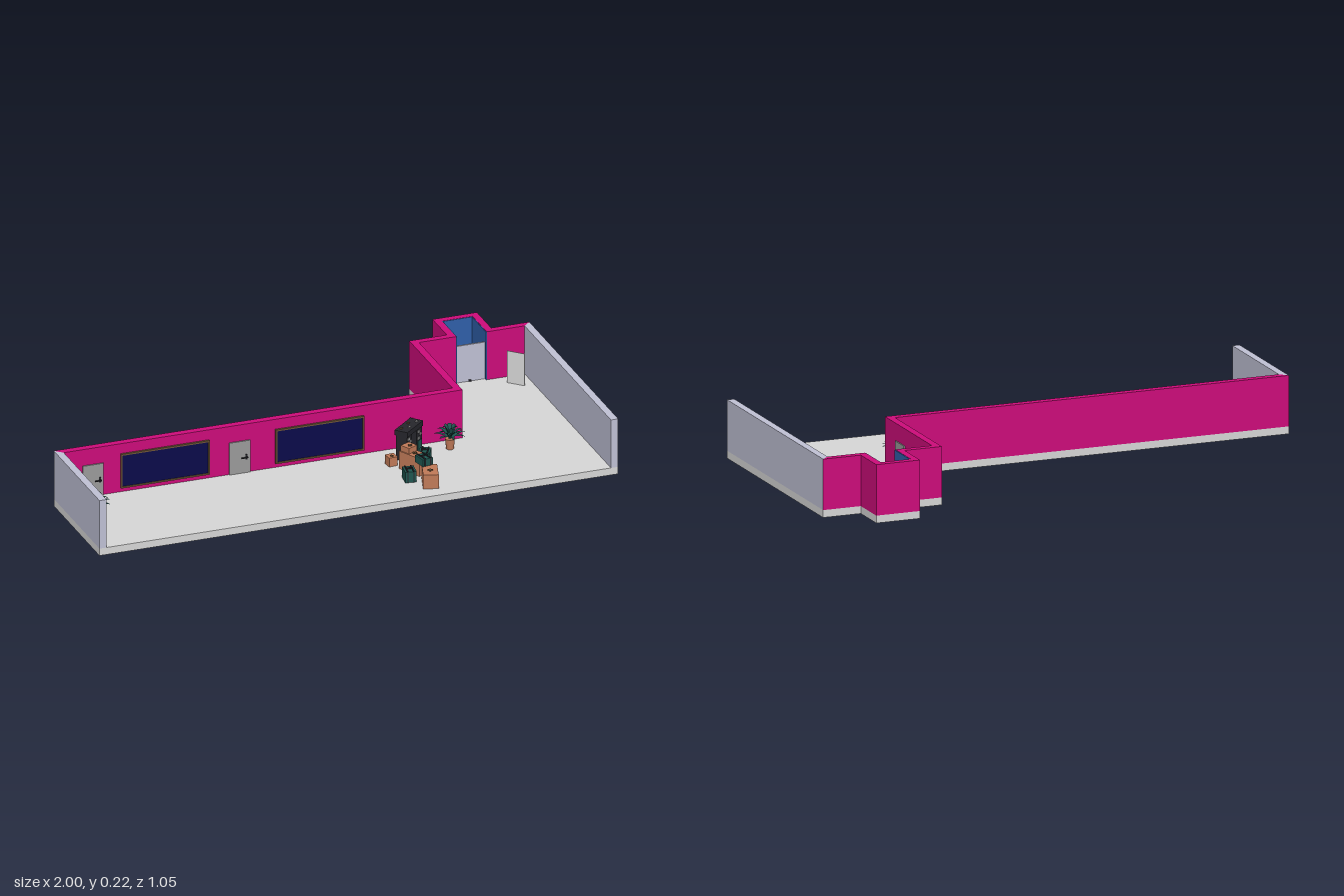
import * as THREE from 'three';

const mat = (name, color, extra = {}) => {
  const m = new THREE.MeshStandardMaterial({ color, ...extra });
  m.name = name;
  return m;
};

const FLOOR = 0.028, TOP = 0.218;

export function createModel() {
  const model = new THREE.Group();
  model.name = 'lobby';
  const M = {
    magenta: mat('magenta', 0xcc0c7a),
    lavender: mat('lavender', 0xbfc0d4),
    floor: mat('floorGrey', 0xd6d6d6),
    blue: mat('blue', 0x2f5fa8),
    navy: mat('navy', 0x0a0a4a),
    frame: mat('frameBrown', 0x6e5436),
    door: mat('doorGrey', 0x9a9a9a),
    dark: mat('charcoal', 0x26262c),
    tan: mat('tan', 0xc07a58),
    teal: mat('teal', 0x1f5650),
  };
  M.teal.side = THREE.DoubleSide;

  const add = (parent, name, geo, material, x = 0, y = 0, z = 0) => {
    const m = new THREE.Mesh(geo, material);
    m.name = name;
    m.position.set(x, y, z);
    parent.add(m);
    return m;
  };
  // box whose y is its underside
  const box = (parent, name, material, w, h, d, x, y, z) =>
    add(parent, name, new THREE.BoxGeometry(w, h, d), material, x, y + h / 2, z);
  const group = (name, x, y, z, turn = 0) => {
    const g = new THREE.Group();
    g.name = name;
    g.position.set(x, y, z);
    g.rotation.y = turn;
    model.add(g);
    return g;
  };
  // plan outline (x, z) raised from y0 to y1
  const slab = (name, material, pts, y0, y1) => {
    const shape = new THREE.Shape(pts.map(([x, z]) => new THREE.Vector2(x, -z)));
    const geo = new THREE.ExtrudeGeometry(shape, { depth: y1 - y0, bevelEnabled: false });
    geo.rotateX(-Math.PI / 2);
    add(model, name, geo, material, 0, y0, 0);
  };

  // Floor and walls
  const outer = [[-1, 0.06], [0.537, 0.06], [0.537, -0.378], [0.682, -0.378], [0.682, -0.523],
    [0.853, -0.523], [0.853, -0.378], [1, -0.378]];
  slab('floor', M.floor, [...outer, [1, 0.523], [-1, 0.523]], 0, FLOOR);
  slab('backWall', M.magenta, [...outer, [0.972, -0.352], [0.826, -0.352], [0.826, -0.497],
    [0.708, -0.497], [0.708, -0.352], [0.565, -0.352], [0.565, 0.088], [-0.972, 0.088]], FLOOR, TOP);
  slab('rightEndWall', M.lavender, [[-1, 0.06], [-0.972, 0.088], [-0.972, 0.523], [-1, 0.523]], FLOOR, TOP);
  slab('leftEndWall', M.lavender, [[1, -0.378], [0.972, -0.352], [0.972, 0.523], [1, 0.523]], FLOOR, TOP);

  // Blue lined alcove closed by a pale sliding door
  const H = TOP - FLOOR - 0.001;
  box(model, 'alcoveBack', M.blue, 0.118, H, 0.003, 0.767, FLOOR, -0.4955);
  for (const x of [0.7095, 0.8245])
    box(model, 'alcoveSide', M.blue, 0.003, H, 0.145, x, FLOOR, -0.4245);
  box(model, 'alcoveDoor', M.lavender, 0.115, 0.145, 0.007, 0.767, FLOOR, -0.367);
  box(model, 'alcoveDoorCatch', M.dark, 0.012, 0.006, 0.004, 0.765, FLOOR, -0.362);

  // Hinged doors with lever handles
  const door = (x, z, turn) => {
    const g = group('door', x, FLOOR, z, turn);
    box(g, 'doorLeaf', M.door, 0.08, 0.126, 0.006, 0, 0, 0.002);
    box(g, 'handlePlate', M.dark, 0.007, 0.02, 0.003, 0.025, 0.053, 0.006);
    box(g, 'handleLever', M.dark, 0.026, 0.004, 0.004, 0.016, 0.061, 0.014);
    box(g, 'handleStem', M.dark, 0.004, 0.004, 0.01, 0.027, 0.061, 0.01);
  };
  door(-0.86, 0.088, 0);
  door(-0.295, 0.088, 0);
  door(0.565, -0.058, Math.PI / 2);

  // Angled pale panel in the side wing
  const panel = group('standingPanel', 0.911, FLOOR, -0.28, -Math.PI / 4);
  box(panel, 'panel', M.floor, 0.07, 0.126, 0.002, 0, 0, 0);

  // Framed navy wall boards
  for (const x of [-0.583, 0.013]) {
    const g = group('wallBoard', x, 0.044, 0.088);
    box(g, 'boardPane', M.navy, 0.33, 0.126, 0.005, 0, 0.004, 0.002);
    for (const y of [0, 0.129]) box(g, 'boardRail', M.frame, 0.342, 0.006, 0.009, 0, y, 0.004);
    for (const s of [-1, 1]) box(g, 'boardStile', M.frame, 0.006, 0.135, 0.009, s * 0.168, 0, 0.004);
  }

  // Potted plants: pointed, arching leaves around a tapered pot
  const leaf = (len, lift) => {
    const pos = [], idx = [];
    const n = 4;
    for (let i = 0; i <= n; i++) {
      const t = i / n, w = 0.009 * Math.sin(Math.PI * (0.12 + 0.88 * t));
      const y = lift * Math.sin(t * 2.1);
      pos.push(len * t, y, -w, len * t, y, w);
      if (i < n) idx.push(2 * i, 2 * i + 1, 2 * i + 2, 2 * i + 1, 2 * i + 3, 2 * i + 2);
    }
    const g = new THREE.BufferGeometry();
    g.setAttribute('position', new THREE.Float32BufferAttribute(pos, 3));
    g.setIndex(idx);
    g.computeVertexNormals();
    return g;
  };
  for (const [x, z] of [[-0.915, 0.255], [0.49, 0.158]]) {
    const g = group('plant', x, FLOOR, z);
    add(g, 'pot', new THREE.CylinderGeometry(0.018, 0.014, 0.04, 12), M.tan, 0, 0.02, 0);
    add(g, 'stem', new THREE.CylinderGeometry(0.004, 0.005, 0.025, 6), M.teal, 0, 0.046, 0);
    for (let i = 0; i < 20; i++) {
      const ring = i % 3;
      const m = add(g, 'leaf', leaf([0.06, 0.048, 0.03][ring], [0.018, 0.033, 0.048][ring]), M.teal, 0, 0.043, 0);
      m.rotation.y = i * 2.4;
    }
  }

  // Dark stand: slab top on two cabinets with pale and teal fronts
  const stand = group('displayStand', 0.332, FLOOR, 0.157, 0.72);
  box(stand, 'standTop', M.dark, 0.122, 0.02, 0.052, 0, 0.097, 0);
  for (const s of [-1, 1]) {
    box(stand, 'standCabinet', M.dark, 0.04, 0.097, 0.045, s * 0.038, 0, 0);
    box(stand, 'cabinetPanel', M.teal, 0.03, 0.04, 0.003, s * 0.038, 0.008, 0.023);
    for (let i = 0; i < 3; i++)
      box(stand, 'cabinetLabel', M.door, 0.013, 0.009, 0.003, s * 0.038 + (i % 2 ? 0.007 : -0.007), 0.054 + i * 0.013, 0.023);
  }
  for (let i = 0; i < 4; i++)
    box(stand, 'topItem', i % 2 ? M.door : M.frame, 0.01, 0.003, 0.008, -0.04 + i * 0.027, 0.117, i % 2 ? 0.01 : -0.01);

  // Tan crates with a ribbed lid
  const crate = (x, y, z, w, h, d, turn) => {
    const g = group('crate', x, y, z, turn);
    box(g, 'crateBody', M.tan, w, h, d, 0, 0, 0);
    box(g, 'crateStrap', M.frame, w * 0.35, 0.003, 0.005, 0, h, 0.005);
    box(g, 'crateStrap', M.frame, 0.005, 0.003, w * 0.35, 0, h, 0.005);
  };
  crate(0.315, FLOOR, 0.418, 0.056, 0.055, 0.092, -0.3);
  crate(0.3, FLOOR, 0.292, 0.048, 0.07, 0.1, 0.45);
  crate(0.29, FLOOR + 0.07, 0.268, 0.042, 0.022, 0.042, 0.45);
  crate(0.243, FLOOR, 0.213, 0.034, 0.035, 0.036, 0.1);

  // Teal cases with dark bands
  const bundle = (x, y, z, h, turn) => {
    const g = group('case', x, y, z, turn);
    box(g, 'caseBody', M.teal, 0.042, h, 0.052, 0, 0, 0);
    for (const s of [-1, 1])
      box(g, 'caseBand', M.dark, 0.005, h + 0.003, 0.055, s * 0.011, 0, 0);
    box(g, 'caseHandle', M.dark, 0.026, 0.004, 0.006, 0, h + 0.002, 0);
  };
  bundle(0.257, FLOOR, 0.36, 0.042, -0.15);
  bundle(0.314, FLOOR + 0.055, 0.358, 0.028, 0.2);
  bundle(0.36, FLOOR, 0.246, 0.052, -0.5);

  return model;
}
